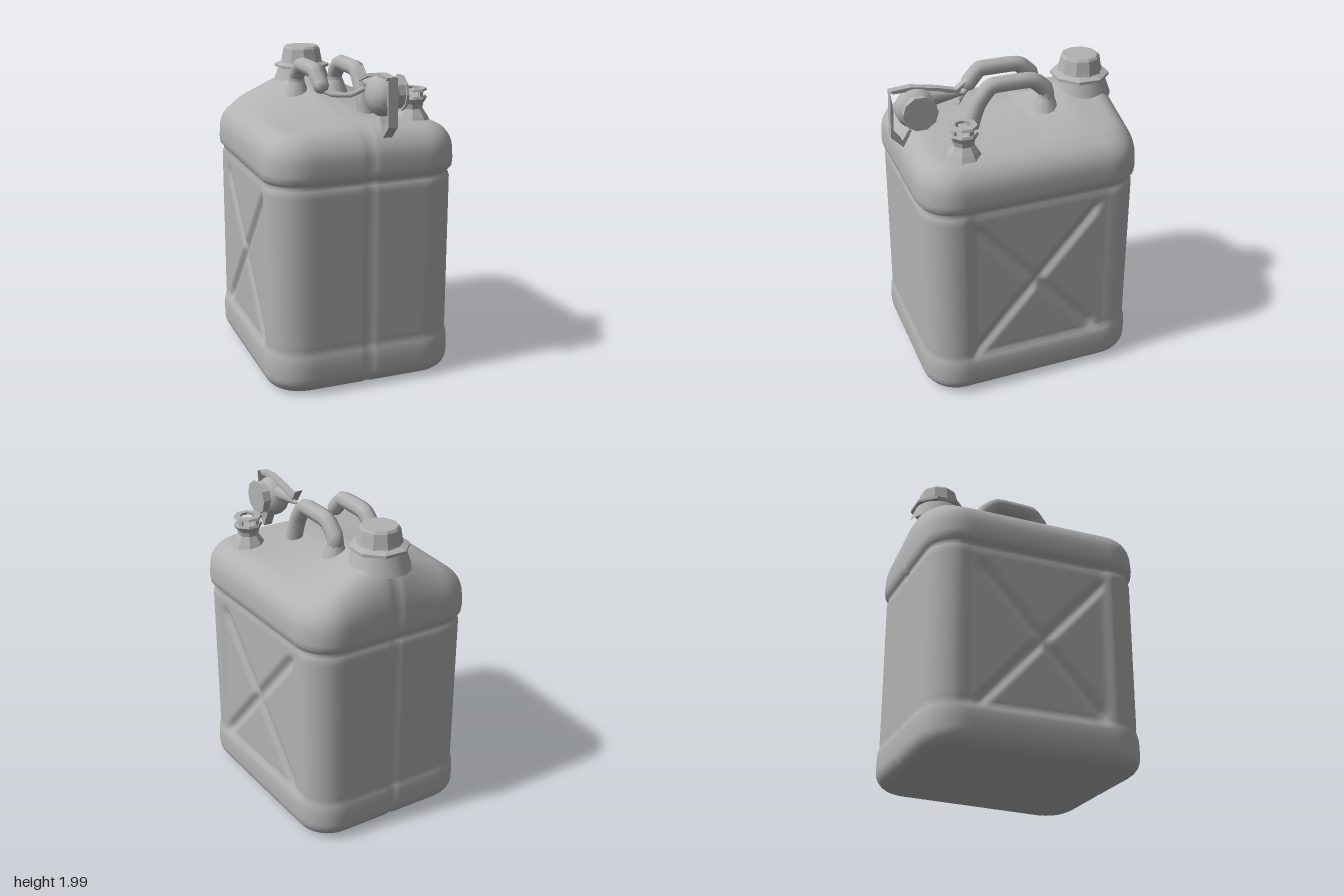
import * as THREE from 'three';

const grey = new THREE.MeshStandardMaterial({ color: 0xb2b2b2 });
grey.name = 'grey plastic';
const facetGrey = grey;

const V = (x, y, z) => new THREE.Vector3(x, y, z);
const clamp = THREE.MathUtils.clamp;
const smooth = THREE.MathUtils.smoothstep;
const CZ = -0.02; // middle of the can in z

function part(group, name, geometry) {
  const mesh = new THREE.Mesh(geometry, facetGrey);
  mesh.name = name;
  group.add(mesh);
  return mesh;
}

// Hard facets for low-poly parts
function faceted(geometry) {
  const g = geometry.index ? geometry.toNonIndexed() : geometry;
  g.computeVertexNormals();
  return g;
}

// Rounded rectangle in plan, inset by d, wider at the front
function outline(d) {
  const hw = 0.603 - d, hd = 0.715 - d, r = Math.max(0.23 - d, 0.06);
  const signs = [[1, 1], [-1, 1], [-1, -1], [1, -1]];
  const arc = (k, t) => {
    const a = (k + t) * Math.PI / 2;
    return [signs[k][0] * (hw - r) + r * Math.cos(a), signs[k][1] * (hd - r) + r * Math.sin(a)];
  };
  const pts = [];
  for (let k = 0; k < 4; k++) {
    for (let i = 0; i <= 8; i++) pts.push(arc(k, i / 8));
    const a = arc(k, 1), b = arc((k + 1) % 4, 0), n = k % 2 ? 48 : 24;
    for (let i = 1; i < n; i++) {
      const t = i / n;
      pts.push([a[0] + (b[0] - a[0]) * t, a[1] + (b[1] - a[1]) * t]);
    }
  }
  return pts.map(([x, z]) => [x * (1 + 0.033 * clamp(z / 0.5, -1, 1)), z + CZ]);
}

// Height of the sloped top: a ridge rising to the filler neck at the back
const ridge = [[-0.8, 1.81], [-0.6, 1.83], [-0.38, 1.825], [-0.25, 1.78], [-0.1, 1.735], [0.2, 1.69], [0.5, 1.665], [0.8, 1.63]];
function topHeight(x, z) {
  let i = 0;
  while (i < ridge.length - 2 && z > ridge[i + 1][0]) i++;
  const [z0, y0] = ridge[i], [z1, y1] = ridge[i + 1];
  const c = y0 + (y1 - y0) * clamp((z - z0) / (z1 - z0), 0, 1);
  return THREE.MathUtils.lerp(c, 1.64, clamp((Math.abs(x) - 0.06) / 0.42, 0, 1));
}

// Depth of the sunken side panel and its pressed cross
function sideRelief(y, z) {
  const inside = smooth(y, 0.25, 0.29) * (1 - smooth(y, 1.31, 1.35))
    * smooth(z, -0.58, -0.5) * (1 - smooth(z, 0.38, 0.46));
  const u = (z - CZ) / 0.42, v = (y - 0.76) / 0.47;
  const dist = Math.min(Math.abs(u - v), Math.abs(u + v)) * 0.31;
  const cross = (1 - smooth(dist, 0.008, 0.05)) * (1 - smooth(Math.max(Math.abs(u), Math.abs(v)), 0.92, 1.05));
  return inside * (0.012 + 0.024 * cross);
}

function bodyGeometry() {
  // Each ring: y, inset d, scale s, and f = how far it follows the sloped top
  const rings = [];
  for (const s of [0.001, 0.5, 0.9]) rings.push({ y: 0.008, d: 0.11, s, f: 0 });
  for (let i = 0; i <= 6; i++) {
    const a = i / 6 * Math.PI / 2;
    rings.push({ y: 0.008 + 0.11 * (1 - Math.cos(a)), d: 0.11 * (1 - Math.sin(a)), s: 1, f: 0 });
  }
  for (const [y, d] of [[0.18, 0], [0.23, 0.002], [0.26, 0.01], [0.285, 0.016]]) rings.push({ y, d, s: 1, f: 0 });
  for (let i = 1; i <= 42; i++) rings.push({ y: 0.285 + i * 0.024, d: 0.014, s: 1, f: 0 });
  for (const [y, d] of [[1.315, 0.02], [1.335, 0.028], [1.352, 0.018], [1.37, 0.001], [1.41, -0.004]]) rings.push({ y, d, s: 1, f: 0 });
  for (let i = 0; i <= 8; i++) {
    const a = i / 8 * Math.PI / 2;
    rings.push({ y: 1.47, d: 0.16 * (1 - Math.cos(a)), s: 1, f: Math.sin(a) });
  }
  for (let i = 1; i <= 14; i++) rings.push({ y: 1.47, d: 0.16, s: Math.max(0.001, 1 - i / 14), f: 1 });

  const pos = [], index = [];
  let n = 0;
  rings.forEach(({ y, d, s, f }, i) => {
    const pts = outline(d);
    n = pts.length;
    pts.forEach(([px, pz], j) => {
      let x = px * s, z = CZ + (pz - CZ) * s;
      const yy = y + f * (topHeight(x, z) - y);
      if (s === 1 && Math.abs(px) > 0.45) x -= Math.sign(px) * sideRelief(yy, z);
      if (s === 1 && Math.abs(px) < 0.005) z -= Math.sign(z) * 0.012; // moulding seam
      pos.push(x, yy, z);
      if (i < rings.length - 1) {
        const a = i * n + j, b = i * n + (j + 1) % n;
        index.push(a, a + n, b, b, a + n, b + n);
      }
    });
  });
  const g = new THREE.BufferGeometry();
  g.setAttribute('position', new THREE.Float32BufferAttribute(pos, 3));
  g.setIndex(index);
  g.computeVertexNormals();
  return g;
}

function lathe(profile, sides) {
  return faceted(new THREE.LatheGeometry(profile.map(([r, y]) => new THREE.Vector2(r, y)), sides, Math.PI / 8));
}

function tube(points, radius, segments = 30) {
  return new THREE.TubeGeometry(new THREE.CatmullRomCurve3(points, false, 'catmullrom', 0.25), segments, radius, 8);
}

// Strap drawn in the side plane as [z, y] corners, centred on x
function strap(corners, x, width) {
  const shape = new THREE.Shape(corners.map(([z, y]) => new THREE.Vector2(z, y)));
  const g = new THREE.ExtrudeGeometry(shape, { depth: width, bevelEnabled: false });
  return g.rotateY(-Math.PI / 2).translate(x + width / 2, 0, 0);
}

export function createModel() {
  const model = new THREE.Group();
  model.name = 'fuel can';
  part(model, 'body', bodyGeometry());

  // Filler neck and cap
  const cap = new THREE.Group();
  cap.name = 'fillerCap';
  cap.position.z = -0.515;
  model.add(cap);
  part(cap, 'neck', new THREE.CylinderGeometry(0.15, 0.2, 0.14, 20, 1, true)).position.y = 1.81;
  part(cap, 'flange', lathe([[0.12, 1.85], [0.185, 1.86], [0.185, 1.878], [0.142, 1.895]], 8));
  part(cap, 'lid', lathe([[0.145, 1.88], [0.138, 1.91], [0.124, 1.985], [0.112, 2], [0.001, 2]], 10));

  // Twin carrying handles; the one on the right is snapped at its front end
  const rear = x => [V(x, 1.68, -0.21), V(x, 1.79, -0.235), V(x, 1.85, -0.235), V(x, 1.92, -0.16), V(x, 1.932, -0.1), V(x, 1.93, 0.1)];
  part(model, 'leftHandle', tube([...rear(0.133), V(0.133, 1.915, 0.14), V(0.133, 1.83, 0.205), V(0.135, 1.74, 0.24), V(0.14, 1.64, 0.265)], 0.053));
  part(model, 'rightHandle', tube([...rear(-0.137), V(-0.137, 1.91, 0.13), V(-0.13, 1.85, 0.185)], 0.053));
  part(model, 'handleEnd', new THREE.SphereGeometry(0.053, 8, 6)).position.set(-0.13, 1.85, 0.185);
  part(model, 'brokenHandleStrip', tube([V(-0.14, 1.83, 0.17), V(-0.08, 1.8, 0.24), V(0.02, 1.8, 0.3), V(0.1, 1.84, 0.33)], 0.016, 10));
  for (const x of [0.133, -0.137]) {
    const foot = part(model, 'handleFoot', new THREE.CylinderGeometry(0.05, 0.09, 0.1, 10, 1, true));
    foot.position.set(x, 1.76, -0.235);
  }

  // Small vent spout with a broken crown
  const spout = new THREE.Group();
  spout.name = 'ventSpout';
  spout.position.set(0.4, 0, 0.39);
  model.add(spout);
  part(spout, 'spoutNeck', lathe([[0.13, 1.6], [0.095, 1.665], [0.065, 1.71], [0.07, 1.74], [0.092, 1.775], [0.085, 1.79], [0.001, 1.785]], 8));
  for (let i = 0; i < 4; i++) {
    const a = i * Math.PI / 2 + 0.4;
    part(spout, 'crownPost', new THREE.BoxGeometry(0.03, 0.05, 0.015).rotateY(a)
      .translate(Math.sin(a) * 0.07, 1.805, Math.cos(a) * 0.07));
  }
  part(spout, 'crownRing', lathe([[0.05, 1.82], [0.092, 1.822], [0.086, 1.836], [0.05, 1.836], [0.05, 1.82]], 8));

  // Loose pouring nozzle hanging over the front edge
  const nozzle = new THREE.Group();
  nozzle.name = 'nozzle';
  model.add(nozzle);
  part(nozzle, 'nozzleBulb', new THREE.SphereGeometry(1, 14, 10).scale(0.105, 0.128, 0.13)).position.set(0.105, 1.845, 0.595);
  part(nozzle, 'nozzleTip', new THREE.CylinderGeometry(0.008, 0.06, 0.26, 8).rotateX(-Math.PI / 2)).position.set(0.1, 1.89, 0.41);
  part(nozzle, 'nozzleDisc', faceted(new THREE.CylinderGeometry(0.095, 0.1, 0.06, 10).rotateZ(-Math.PI / 2))).position.set(0.2, 1.855, 0.595);
  part(nozzle, 'nozzleRim', faceted(new THREE.CylinderGeometry(0.11, 0.11, 0.015, 10).rotateZ(Math.PI / 2))).position.set(0.222, 1.855, 0.595);
  part(nozzle, 'topStrap', strap([[0.27, 1.975], [0.33, 1.89], [0.45, 1.935], [0.6, 1.96], [0.73, 1.955], [0.75, 1.975],
    [0.62, 1.985], [0.45, 1.955], [0.34, 1.925]], 0.09, 0.05));
  part(nozzle, 'frontStrap', strap([[0.75, 1.975], [0.735, 1.85], [0.745, 1.72], [0.69, 1.65], [0.645, 1.72], [0.63, 1.71],
    [0.685, 1.605], [0.76, 1.68], [0.755, 1.85]], 0.1, 0.06));
  return model;
}
